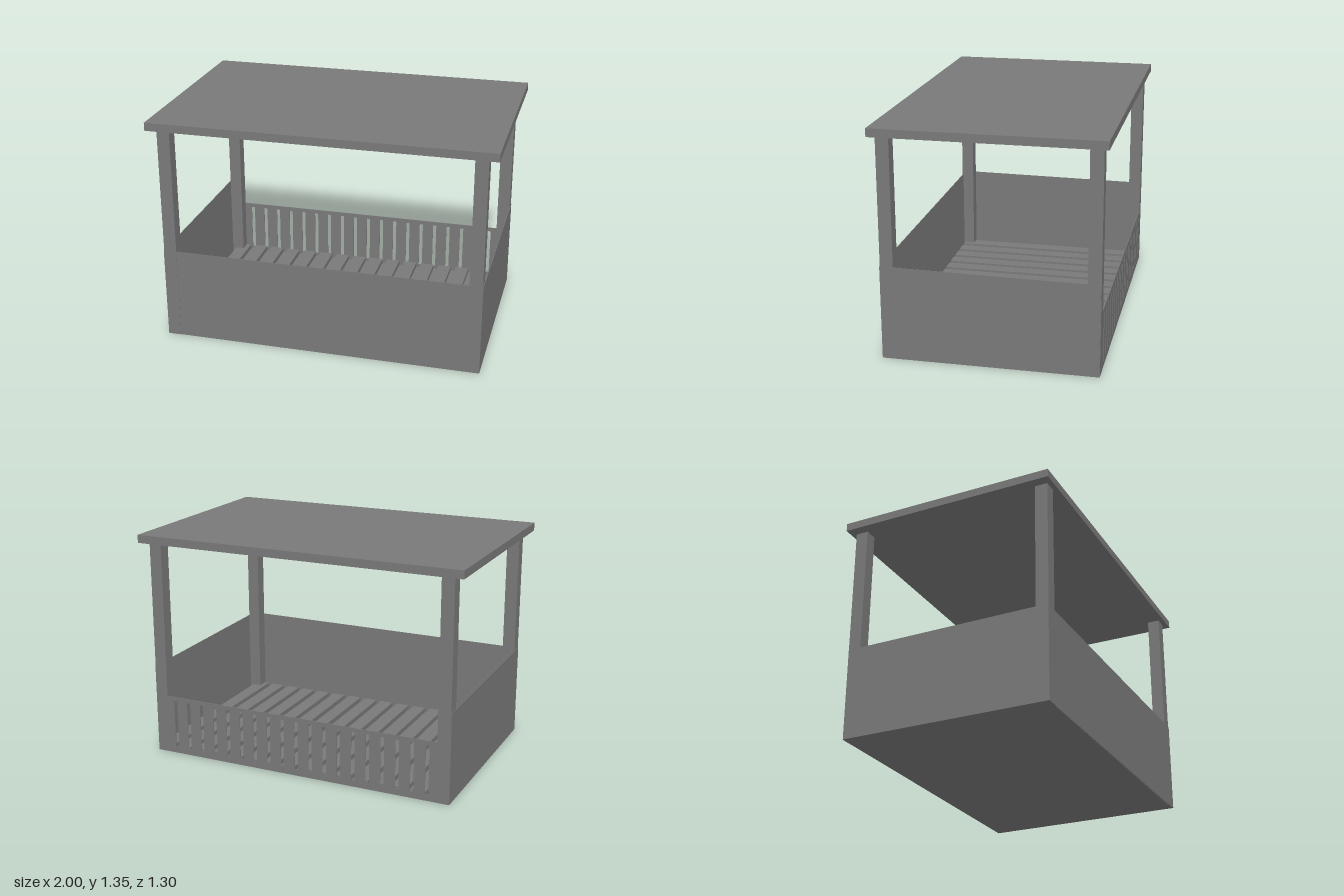
import * as THREE from 'three';

const material = new THREE.MeshStandardMaterial({ color: 0x797979 });

export function createModel() {
  const group = new THREE.Group();

  const add = (name, geometry) => {
    const mesh = new THREE.Mesh(geometry, material);
    mesh.name = name;
    group.add(mesh);
    return mesh;
  };
  // box given by its minimum and maximum corners
  const box = (name, [x0, y0, z0], [x1, y1, z1]) => {
    const mesh = add(name, new THREE.BoxGeometry(x1 - x0, y1 - y0, z1 - z0));
    mesh.position.set((x0 + x1) / 2, (y0 + y1) / 2, (z0 + z1) / 2);
    return mesh;
  };
  const rectangle = (Type, x0, y0, x1, y1) => new Type([
    new THREE.Vector2(x0, y0), new THREE.Vector2(x1, y0),
    new THREE.Vector2(x1, y1), new THREE.Vector2(x0, y1),
  ]);

  // flat roof
  box('roof', [-1, 1.3, -0.648], [1, 1.348, 0.648]);

  // four corner posts
  for (const sx of [-1, 1]) {
    for (const sz of [-1, 1]) {
      const name = (sz > 0 ? 'front' : 'back') + (sx > 0 ? 'Left' : 'Right') + 'Post';
      const post = add(name, new THREE.BoxGeometry(0.075, 1.3, 0.075));
      post.position.set(sx * 0.9035, 0.65, sz > 0 ? 0.5805 : -0.578);
    }
  }

  // closed base and floor slats running front to back
  box('base', [-0.942, 0, -0.613], [0.942, 0.02, 0.612]);
  const slats = 16, pitch = 1.87 / slats;
  for (let i = 0; i < slats; i++) {
    const x = -0.935 + (i + 0.5) * pitch;
    box('floorSlat', [x - 0.042, 0.019, -0.61], [x + 0.042, 0.05, 0.61]);
  }

  // thin solid front wall, set very slightly askew so it covers the left post
  const frontWall = box('frontWall', [-0.867, 0, 0.615], [0.944, 0.55, 0.618]);
  frontWall.rotation.y = -0.003;

  // thin side walls, their tops falling slightly to the back
  const side = new THREE.Shape();
  side.moveTo(-0.618, 0);
  side.lineTo(0.614, 0);
  side.lineTo(0.614, 0.54);
  side.lineTo(-0.618, 0.55);
  side.closePath();
  for (const s of [-1, 1]) {
    const geometry = new THREE.ExtrudeGeometry(side, { depth: 0.003, bevelEnabled: false });
    geometry.translate(0, 0, -0.0015).rotateY(Math.PI / 2);
    const wall = add(s > 0 ? 'leftWall' : 'rightWall', geometry);
    wall.position.x = s * 0.9425;
  }

  // low back fence between the posts, with a row of narrow slots
  const fence = rectangle(THREE.Shape, -0.867, 0, 0.867, 0.36);
  for (let i = 0; i < 19; i++) {
    const x = (i - 9) * 0.09;
    fence.holes.push(rectangle(THREE.Path, x - 0.011, 0.04, x + 0.011, 0.335));
  }
  const fenceMesh = add('backFence', new THREE.ExtrudeGeometry(fence, { depth: 0.004, bevelEnabled: false }));
  fenceMesh.position.z = -0.615;

  return group;
}
